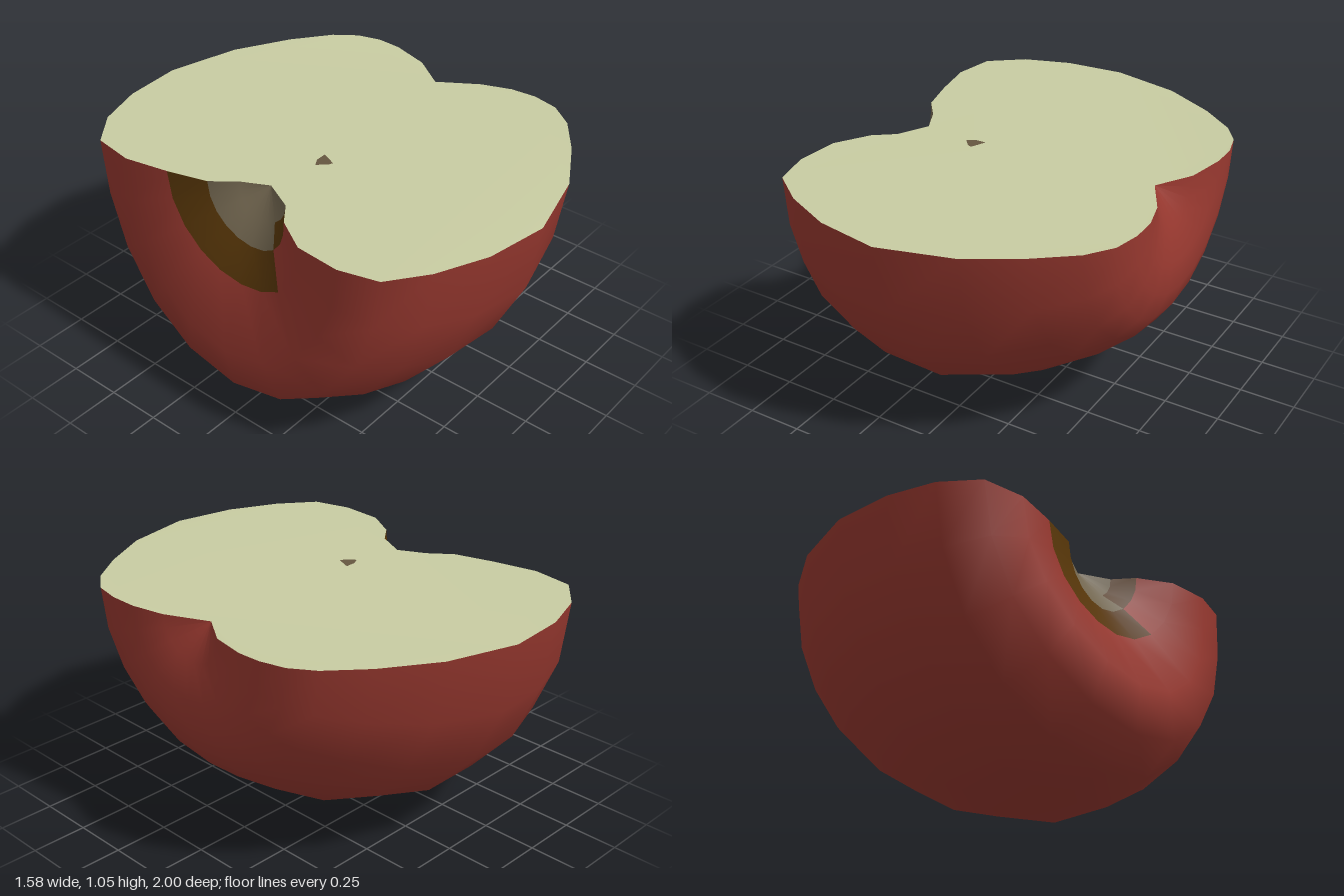
import * as THREE from 'three';

const mat = (name, color) => {
  const m = new THREE.MeshStandardMaterial({ color });
  m.name = name;
  return m;
};

// Half profiles [x, radius] from the stem hollow to the blossom hollow
const FRONT = [[-0.47, 0], [-0.54, 0.14], [-0.63, 0.21], [-0.72, 0.36], [-0.735, 0.56], [-0.69, 0.73],
  [-0.53, 0.85], [-0.31, 0.95], [-0.03, 1], [0.29, 0.92], [0.52, 0.79], [0.68, 0.67], [0.76, 0.56],
  [0.785, 0.44], [0.78, 0.32], [0.74, 0.18], [0.64, 0]];
const BOTTOM = [[-0.47, 0], [-0.54, 0.13], [-0.6, 0.23], [-0.67, 0.38], [-0.79, 0.66], [-0.75, 0.86],
  [-0.56, 0.97], [-0.33, 1.03], [-0.03, 1.02], [0.29, 0.91], [0.53, 0.76], [0.68, 0.63], [0.75, 0.53],
  [0.785, 0.42], [0.78, 0.3], [0.74, 0.15], [0.64, 0]];
const BACK = [[-0.47, 0], [-0.53, 0.12], [-0.61, 0.22], [-0.66, 0.4], [-0.7, 0.6], [-0.67, 0.79],
  [-0.52, 0.91], [-0.31, 0.98], [-0.04, 1], [0.28, 0.91], [0.52, 0.77], [0.68, 0.64], [0.75, 0.54],
  [0.78, 0.43], [0.78, 0.32], [0.74, 0.15], [0.64, 0]];

const CUT = 1.03;
const SEGS = 10;
// Slight rise of the cut towards the blossom end
const lift = (x, z) => 0.018 * Math.max(0, x / 0.78) * Math.min(1, Math.abs(z) / 0.4);

// Skin: the profiles swept half a turn from front, under the fruit, to the back
function skinGeometry() {
  const pos = [];
  const faces = [[], [], []]; // skin, stain, hollow
  const w = SEGS + 1;
  for (let i = 0; i < FRONT.length; i++) {
    for (let j = 0; j <= SEGS; j++) {
      const a = (j / SEGS) * Math.PI;
      const c2 = Math.cos(a) ** 2;
      const side = a < Math.PI / 2 ? FRONT : BACK;
      const x = THREE.MathUtils.lerp(BOTTOM[i][0], side[i][0], c2);
      const r = THREE.MathUtils.lerp(BOTTOM[i][1], side[i][1], c2);
      const z = r * Math.cos(a);
      pos.push(x, CUT - r * Math.sin(a) + lift(x, z) * c2, z);
    }
  }
  for (let i = 0; i < FRONT.length - 1; i++) {
    for (let j = 0; j < SEGS; j++) {
      let kind = 0;
      if (i < 2) kind = i === 1 && j < 3 ? 1 : 2;
      else if (i === 2 && j > 2) kind = 1;
      const a = i * w + j;
      faces[kind].push(a, a + 1, a + w, a + 1, a + w + 1, a + w);
    }
  }
  const g = new THREE.BufferGeometry();
  g.setAttribute('position', new THREE.Float32BufferAttribute(pos, 3));
  g.setIndex(faces.flat());
  let start = 0;
  faces.forEach((f, k) => {
    g.addGroup(start, f.length, k);
    start += f.length;
  });
  g.computeVertexNormals();
  return g;
}

// Flat face from [x, z] points, laid at height y
function flatFace(points, y) {
  const shape = new THREE.Shape(points.map(([x, z]) => new THREE.Vector2(x, -z)));
  const g = new THREE.ShapeGeometry(shape).rotateX(-Math.PI / 2);
  const p = g.attributes.position;
  for (let i = 0; i < p.count; i++) p.setY(i, y + lift(p.getX(i), p.getZ(i)));
  g.computeVertexNormals();
  return g;
}

export function createModel() {
  const red = mat('red skin', 0x97382f);
  const stain = mat('brown stain', 0x573608);
  const hollow = mat('grey brown hollow', 0x746851);
  const cream = mat('pale flesh', 0xc8cca2);
  const seed = mat('seed brown', 0x655640);

  const group = new THREE.Group();
  group.name = 'halfApple';
  const add = (name, geometry, material) => {
    const mesh = new THREE.Mesh(geometry, material);
    mesh.name = name;
    group.add(mesh);
  };

  add('skin', skinGeometry(), [red, stain, hollow]);

  // Cut face: front outline, then back outline reversed
  const outline = [...FRONT, ...BACK.slice(1, -1).reverse().map(([x, r]) => [x, -r])];
  add('cutFlesh', flatFace(outline, CUT), cream);

  // Seed marks on the cut face
  add('largeSeed', flatFace([[-0.245, 0.04], [-0.21, 0.02], [-0.14, 0.018], [-0.11, 0.035], [-0.06, 0.035],
    [0.02, 0.045], [0.035, 0.07], [0.025, 0.115], [-0.01, 0.135], [-0.06, 0.13], [-0.15, 0.105],
    [-0.21, 0.08]], CUT + 0.004), seed);
  add('smallSeed', flatFace([[-0.035, -0.04], [-0.01, -0.055], [0.035, -0.05], [0.075, -0.03],
    [0.07, -0.008], [0.03, -0.008], [0.01, -0.02], [-0.025, -0.02]], CUT + 0.004), seed);

  return group;
}
